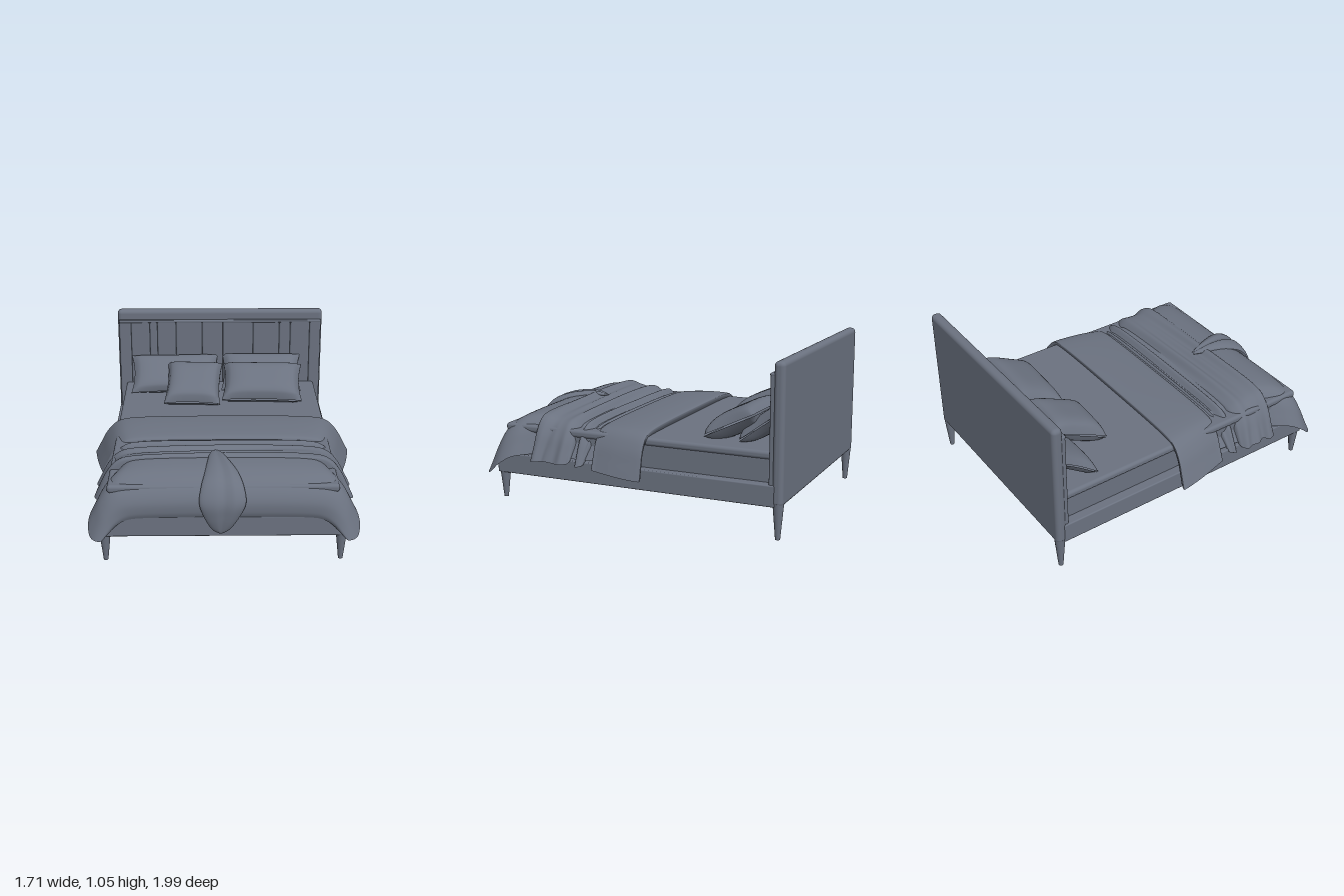
import * as THREE from 'three';
import { mergeGeometries } from 'three/addons/utils/BufferGeometryUtils.js';
import { RoundedBoxGeometry } from 'three/addons/geometries/RoundedBoxGeometry.js';

const grey = new THREE.MeshStandardMaterial({ color: 0x6b7280, side: THREE.DoubleSide });
grey.name = 'slate grey';

// Grid surface: u and v run 0..1, fn returns [x, y, z]
function surface(nu, nv, fn) {
  const g = new THREE.PlaneGeometry(1, 1, nu, nv);
  const p = g.attributes.position;
  for (let i = 0; i < p.count; i++) p.setXYZ(i, ...fn(p.getX(i) + 0.5, p.getY(i) + 0.5));
  g.computeVertexNormals();
  return g;
}

// Smooth interpolation through rows of numbers
function sampler(rows) {
  return (t) => {
    const f = t * (rows.length - 1);
    const i = Math.min(Math.floor(f), rows.length - 2);
    const k = f - i;
    const at = (j) => rows[Math.max(0, Math.min(rows.length - 1, j))];
    return rows[0].map((_, c) => {
      const [a, b, d, e] = [at(i - 1)[c], at(i)[c], at(i + 1)[c], at(i + 2)[c]];
      return b + 0.5 * k * (d - a + k * (2 * a - 5 * b + 4 * d - e + k * (3 * (b - d) + e - a)));
    });
  };
}

// Half cross-section of draped cloth: fraction of width, fraction of height
const hang = sampler([[0, 1], [0.4, 0.995], [0.7, 0.96], [0.82, 0.86], [0.9, 0.6], [0.955, 0.28], [1, 0]]);

// Cloth over the bed; rows are [z in the middle, z at the hem, half width, top y, hem y]
function drape(rows, wrinkle = 0) {
  const s = sampler(rows);
  return surface(56, 56, (u, v) => {
    const side = u * 2 - 1;
    const [zMid, zHem, w, top, hem] = s(1 - v);
    const [fx, fy] = hang(Math.abs(side));
    const fold = wrinkle * Math.sin(zMid * 75 + Math.sin(side * 4) * 1.2) * (0.6 + 0.4 * Math.cos(side * 7));
    return [
      Math.sign(side) * fx * w + Math.sign(side) * fold * (1 - fy) - 0.005,
      hem + (top - hem) * fy + fold * fy,
      zMid + (zHem - zMid) * (1 - fy),
    ];
  });
}

// Pillow with pinched corners, lying flat around its centre
function pillowGeometry(w, d, h) {
  const half = (s) => surface(24, 20, (u, v) => {
    const a = u * 2 - 1, b = (v * 2 - 1) * s;
    const puff = Math.sqrt(Math.max(0, (1 - a ** 4) * (1 - b ** 4)));
    return [
      a * w / 2 * (0.93 + 0.07 * b * b),
      s * h / 2 * (0.06 + 0.94 * puff),
      -b * d / 2 * (0.93 + 0.07 * a * a),
    ];
  });
  return mergeGeometries([half(1), half(-1)]);
}

export function createModel() {
  const bed = new THREE.Group();
  bed.name = 'bed';
  const add = (name, geometry, x = 0, y = 0, z = 0) => {
    const m = new THREE.Mesh(geometry, grey);
    m.name = name;
    m.position.set(x, y, z);
    bed.add(m);
    return m;
  };
  const cx = -0.01;

  // Frame and headboard
  add('headboard', new RoundedBoxGeometry(1.48, 0.85, 0.068, 4, 0.028), cx, 0.625, -0.966);
  add('bedFrame', new RoundedBoxGeometry(1.48, 0.13, 1.87, 2, 0.008), cx, 0.263, -0.015);

  // Padded headboard channels between uneven seams
  const seams = [-0.74, -0.655, -0.52, -0.465, -0.33, -0.14, 0.01, 0.23, 0.42, 0.5, 0.64, 0.72];
  for (let i = 0; i < seams.length - 1; i++) {
    const w = seams[i + 1] - seams[i];
    add('headboardChannel', new RoundedBoxGeometry(w, 0.66, 0.04, 3, 0.012), seams[i] + w / 2, 0.645, -0.93);
  }
  add('headboardTrim', new RoundedBoxGeometry(1.46, 0.02, 0.04, 2, 0.008), cx, 0.971, -0.928);

  // Tapered legs
  for (const side of [-1, 1]) {
    const rear = new THREE.CylinderGeometry(0.034, 0.015, 0.22, 16);
    add('rearLeg', rear, cx + side * 0.706, 0.11, -0.966);
    const front = new THREE.CylinderGeometry(0.034, 0.014, 0.18, 16);
    add('frontLeg', front, cx + side * 0.706, 0.12, 0.885);
  }

  // Mattress with its piped top
  add('mattress', new RoundedBoxGeometry(1.36, 0.17, 1.79, 3, 0.02), cx, 0.395, -0.015);
  add('mattressTop', new RoundedBoxGeometry(1.375, 0.05, 1.80, 3, 0.02), cx, 0.488, -0.015);

  // Duvet, falling over the foot with drooping corners
  add('duvet', drape([
    [0.15, 0.22, 0.72, 0.53, 0.34], [0.35, 0.36, 0.73, 0.535, 0.34], [0.5, 0.5, 0.73, 0.56, 0.34],
    [0.62, 0.64, 0.72, 0.585, 0.34], [0.7, 0.71, 0.75, 0.582, 0.335], [0.78, 0.79, 0.79, 0.565, 0.32],
    [0.85, 0.87, 0.81, 0.53, 0.27], [0.9, 0.93, 0.8, 0.48, 0.215], [0.928, 0.97, 0.77, 0.42, 0.2],
    [0.93, 0.985, 0.73, 0.36, 0.2], [0.92, 0.965, 0.71, 0.325, 0.21],
  ]));

  // Turned-down blanket with flared sides
  add('foldedBlanket', drape([
    [-0.1, -0.14, 0.82, 0.512, 0.295], [-0.115, -0.15, 0.85, 0.545, 0.29], [-0.1, -0.13, 0.853, 0.56, 0.285],
    [0, -0.02, 0.835, 0.565, 0.285], [0.1, 0.08, 0.815, 0.562, 0.29], [0.2, 0.18, 0.79, 0.553, 0.295],
    [0.235, 0.215, 0.78, 0.54, 0.3], [0.24, 0.22, 0.74, 0.515, 0.32],
  ]));

  // Narrow rolled hem of the blanket
  add('blanketFold', drape([
    [0.24, 0.29, 0.73, 0.515, 0.32], [0.265, 0.295, 0.75, 0.54, 0.31], [0.285, 0.31, 0.76, 0.528, 0.305],
    [0.32, 0.325, 0.77, 0.565, 0.3], [0.345, 0.34, 0.765, 0.55, 0.3], [0.36, 0.35, 0.73, 0.51, 0.32],
  ], 0.003));

  // Rumpled throw across the bed
  add('throw', drape([
    [0.37, 0.38, 0.74, 0.51, 0.33], [0.39, 0.39, 0.775, 0.545, 0.315], [0.44, 0.43, 0.79, 0.575, 0.31],
    [0.5, 0.5, 0.785, 0.57, 0.31], [0.54, 0.55, 0.775, 0.578, 0.315], [0.6, 0.6, 0.79, 0.595, 0.31],
    [0.64, 0.645, 0.785, 0.598, 0.31], [0.65, 0.65, 0.73, 0.57, 0.33],
  ], 0.008));

  // Gathered throw end hanging over the foot; rows are [x, y, z, half width, half thickness]
  const tail = sampler([
    [-0.05, 0.585, 0.53, 0.01, 0.005], [-0.05, 0.592, 0.6, 0.04, 0.02], [-0.035, 0.582, 0.7, 0.07, 0.03],
    [-0.02, 0.558, 0.8, 0.1, 0.035], [-0.015, 0.515, 0.89, 0.125, 0.035], [-0.015, 0.43, 0.945, 0.138, 0.035],
    [-0.02, 0.34, 0.95, 0.105, 0.03], [-0.025, 0.26, 0.945, 0.055, 0.02], [-0.025, 0.23, 0.945, 0.008, 0.004],
  ]);
  add('throwTail', surface(32, 40, (u, v) => {
    const [x, y, z, w, t] = tail(1 - v);
    const a = tail(Math.max(0, 0.99 - v)), b = tail(Math.min(1, 1.01 - v));
    const dy = b[1] - a[1], dz = b[2] - a[2], len = Math.hypot(dy, dz);
    const angle = Math.PI * (1 - 2 * u);
    const across = Math.cos(angle);
    const lift = Math.sin(angle) * t * (1 - 0.55 * Math.exp(-((across - 0.1) ** 2) * 30));
    return [x + across * w, y + lift * dz / len, z - lift * dy / len];
  }));

  // Pillows: [name, width, depth, thickness, x, y, z, tilt, turn]
  const pillows = [
    ['backPillowRight', 0.63, 0.33, 0.13, -0.335, 0.618, -0.785, 0.62, 0.03],
    ['backPillowLeft', 0.57, 0.32, 0.13, 0.285, 0.622, -0.8, 0.64, -0.03],
    ['frontPillowRight', 0.39, 0.41, 0.16, -0.2, 0.612, -0.59, 0.42, -0.06],
    ['frontPillowLeft', 0.56, 0.36, 0.16, 0.285, 0.612, -0.61, 0.45, -0.05],
  ];
  for (const [name, w, d, h, x, y, z, tilt, turn] of pillows) {
    const p = add(name, pillowGeometry(w, d, h), x, y, z);
    p.rotation.set(tilt, turn, 0, 'YXZ');
  }

  return bed;
}
